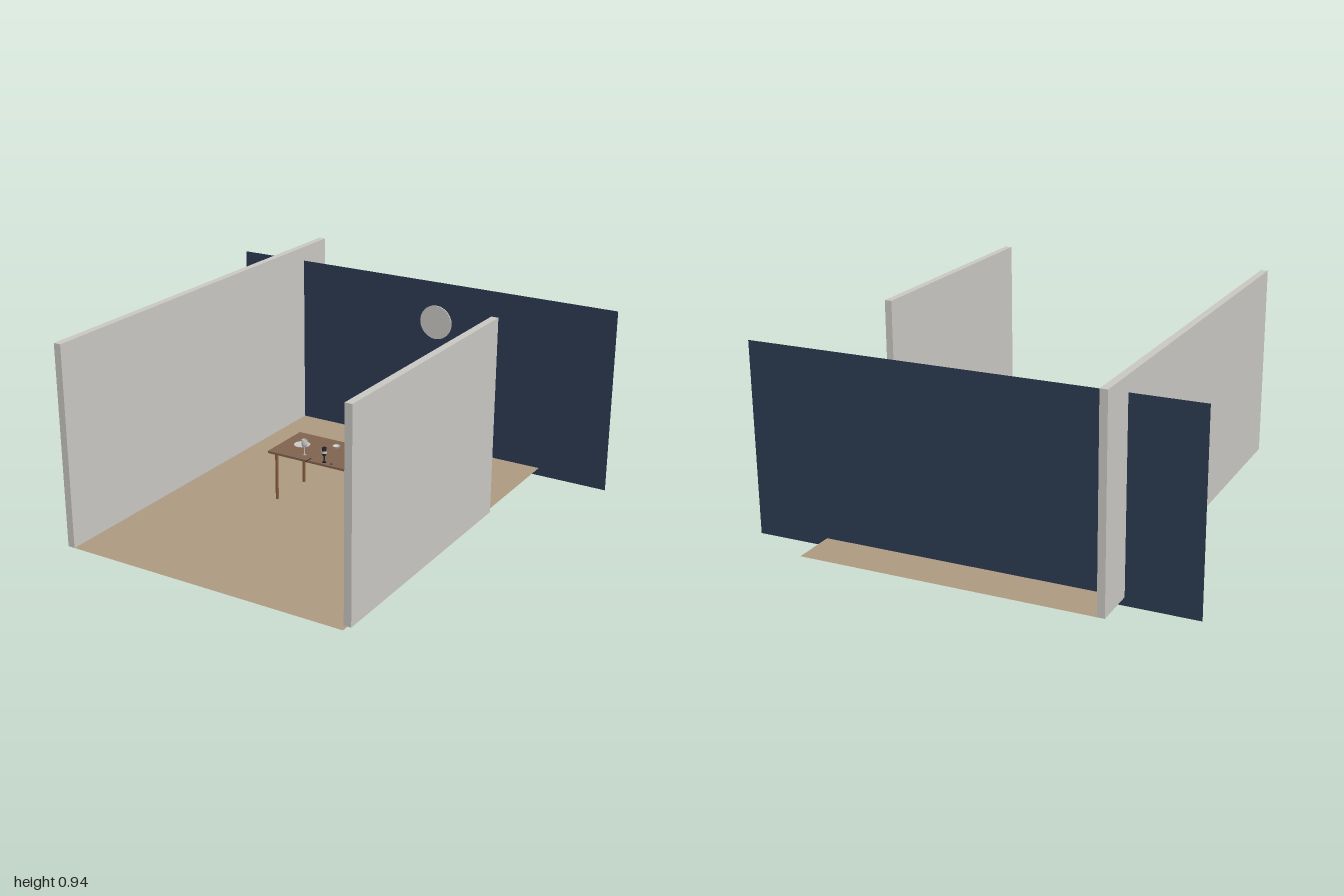
import * as THREE from 'three';

export function createModel() {
  const model = new THREE.Group();
  model.name = 'diningRoom';

  const material = (name, color, side = THREE.FrontSide) => {
    const m = new THREE.MeshStandardMaterial({ color, side });
    m.name = name;
    return m;
  };
  const plaster = material('palePlaster', 0xc9c7c2);
  const china = material('paleChina', 0xc9c7c2, THREE.DoubleSide);
  const navy = material('navyPaint', 0x2c3a52, THREE.DoubleSide);
  const tan = material('tanFloor', 0xac9a80, THREE.DoubleSide);
  const topWood = material('tableTopWood', 0x80634f);
  const legWood = material('tableLegWood', 0x8b5e3c);
  const dark = material('darkMetal', 0x22222a, THREE.DoubleSide);

  const add = (parent, name, geometry, mat, x, y, z) => {
    const mesh = new THREE.Mesh(geometry, mat);
    mesh.name = name;
    mesh.position.set(x, y, z);
    parent.add(mesh);
    return mesh;
  };
  const box = (w, h, d) => new THREE.BoxGeometry(w, h, d);
  const lathe = (points, sides = 24) =>
    new THREE.LatheGeometry(points.map(([r, y]) => new THREE.Vector2(r, y)), sides);

  // Room shell: thin floor, two thick side walls, thin back wall
  const FLOOR = 0.037;
  const floor = add(model, 'floor', new THREE.PlaneGeometry(1.33, 2), tan, 0, FLOOR, 0);
  floor.rotation.x = -Math.PI / 2;
  add(model, 'rightWall', box(0.033, 0.9, 2), plaster, -0.667, FLOOR + 0.45, 0);
  add(model, 'leftWall', box(0.033, 0.9, 1.2), plaster, 0.665, FLOOR + 0.45, 0.367);
  add(model, 'backWall', new THREE.PlaneGeometry(2, 0.867), navy, 0, 0.4335, -0.8);

  // Round wall plate
  const disc = add(model, 'wallDisc', new THREE.CylinderGeometry(0.083, 0.083, 0.006, 24), plaster, 0.1, 0.67, -0.793);
  disc.rotation.x = Math.PI / 2;

  // Table
  const table = new THREE.Group();
  table.name = 'table';
  model.add(table);
  const TOP = 0.271;
  add(table, 'tableTop', box(0.467, 0.01, 0.265), topWood, 0, TOP - 0.005, 0.028);
  for (const x of [-0.2, 0.2])
    for (const z of [-0.085, 0.14])
      add(table, 'tableLeg', box(0.01, 0.225, 0.01), legWood, x, FLOOR + 0.1125, z);

  // Tableware
  const ware = new THREE.Group();
  ware.name = 'tableware';
  ware.position.y = TOP;
  model.add(ware);

  const plate = lathe([[0, 0.001], [0.024, 0.001], [0.038, 0.007], [0.036, 0.008], [0.023, 0.004], [0, 0.004]]);
  add(ware, 'plate', plate, china, -0.135, 0, 0.03);
  add(ware, 'plate', plate, china, 0.133, 0, 0.022);

  const bowl = lathe([[0, 0.001], [0.009, 0.001], [0.018, 0.015], [0.016, 0.015], [0.008, 0.005], [0, 0.005]]);
  add(ware, 'bowl', bowl, china, 0.015, 0, -0.02);

  const goblet = lathe([[0, 0], [0.011, 0.001], [0.002, 0.004], [0.002, 0.035],
    [0.01, 0.042], [0.014, 0.055], [0.013, 0.073], [0.011, 0.073], [0.009, 0.046], [0, 0.04]], 16);
  add(ware, 'goblet', goblet, china, -0.07, 0, 0.113);
  add(ware, 'goblet', goblet, china, 0.147, 0, 0.1);

  // Dark cup with a pale band
  add(ware, 'darkCup', lathe([[0, 0.001], [0.01, 0.001], [0.004, 0.006], [0.004, 0.03],
    [0.011, 0.04], [0.011, 0.07], [0.009, 0.07], [0.008, 0.042], [0, 0.036]], 16), dark, 0.05, 0, 0.14);
  add(ware, 'cupBand', new THREE.CylinderGeometry(0.012, 0.012, 0.012, 16, 1, true), china, 0.05, 0.05, 0.14);

  // Cutlery
  add(ware, 'knife', box(0.003, 0.002, 0.045), dark, -0.02, 0.003, 0.16);
  const spoon = add(ware, 'spoon', new THREE.SphereGeometry(0.008, 12, 8), navy, 0.09, 0.003, 0.145);
  spoon.scale.set(1, 0.3, 0.6);

  return model;
}
